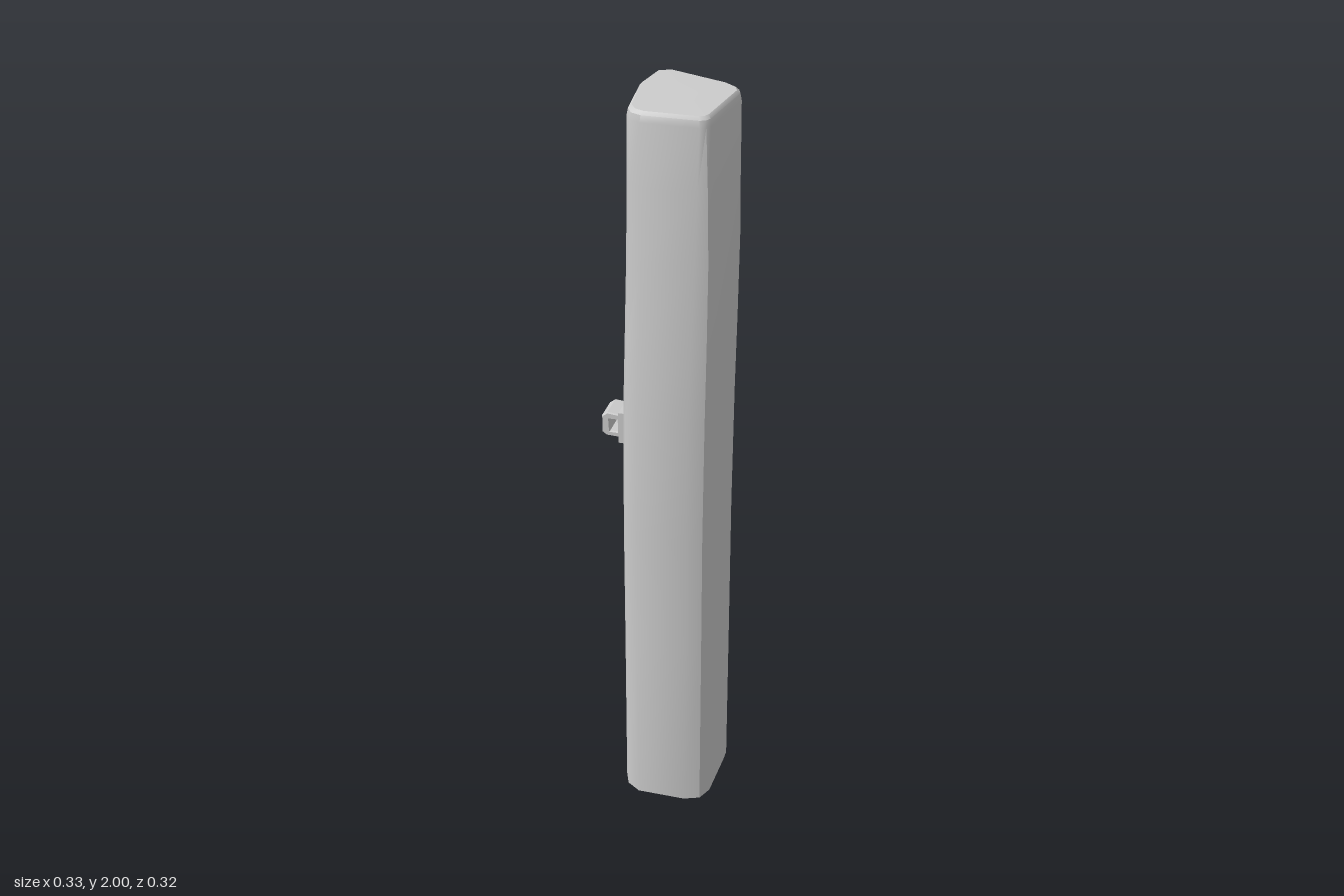
import * as THREE from 'three';
import { toCreasedNormals } from 'three/addons/utils/BufferGeometryUtils.js';

const material = new THREE.MeshStandardMaterial({ color: 0xcccccc, side: THREE.DoubleSide });

// Outlines [x, z], running from the back left corner round to the left side
const FOOT = [[-0.065, -0.1], [-0.03, -0.112], [0.12, -0.085], [0.152, -0.062], [0.15, -0.035], [0.13, 0.11],
  [0.108, 0.148], [0.065, 0.16], [-0.065, 0.148], [-0.1, 0.12], [-0.112, 0.08], [-0.1, -0.045]];
const HEAD = [[-0.063, -0.15], [-0.03, -0.162], [0.12, -0.112], [0.151, -0.09], [0.157, -0.07], [0.109, 0.088],
  [0.1, 0.1], [0.085, 0.105], [-0.055, 0.104], [-0.08, 0.093], [-0.092, 0.07], [-0.09, -0.07]];

// Blend of foot and head outlines at each height: [y, blend, x shift, z shift]
const LEVELS = [[0, 0, 0, 0], [0.5, 0.02, 0, -0.003], [0.85, 0.04, 0, -0.002], [1.2, 0.08, 0.003, 0],
  [1.4, 0.22, 0.006, 0], [1.62, 0.42, 0.008, 0], [1.8, 0.68, 0.005, 0]];

function postGeometry() {
  const n = FOOT.length;
  const rings = LEVELS.map(([y, t, dx, dz]) => FOOT.map(([x, z], i) => [
    x + (HEAD[i][0] - x) * t + dx, y, z + (HEAD[i][1] - z) * t + dz]));
  // Head rim with a bevel, tilted down towards the front right
  for (const [drop, inset] of [[0.025, 1], [0.008, 0.975], [0, 0.91]]) {
    rings.push(HEAD.map(([x, z]) => [
      0.03 + (x - 0.03) * inset,
      1.987 - drop - 0.075 * z - 0.03 * x,
      -0.02 + (z + 0.02) * inset]));
  }
  const positions = rings.flat(2);
  positions.push(0.03, 1.989, -0.02);
  const indices = [];
  for (let r = 0; r < rings.length - 1; r++) {
    for (let i = 0; i < n; i++) {
      const a = r * n + i, b = r * n + (i + 1) % n;
      indices.push(a, a + n, b, b, a + n, b + n);
    }
  }
  const last = (rings.length - 1) * n;
  for (let i = 0; i < n; i++) indices.push(last + i, last + n, last + (i + 1) % n);
  const geometry = new THREE.BufferGeometry();
  geometry.setAttribute('position', new THREE.Float32BufferAttribute(positions, 3));
  geometry.setIndex(indices);
  return toCreasedNormals(geometry, 0.62);
}

const polygon = (Type, points) => new Type(points.map(([x, y]) => new THREE.Vector2(x, y)));

export function createModel() {
  const model = new THREE.Group();
  const add = (name, geometry, parent) => {
    const mesh = new THREE.Mesh(geometry, material);
    mesh.name = name;
    parent.add(mesh);
    return mesh;
  };

  // Leaning hollow post, open at the foot
  add('post', postGeometry(), model);

  // Small bracket on the side of the post
  const bracket = new THREE.Group();
  bracket.name = 'bracket';
  bracket.position.set(-0.108, 1.132, 0.04);
  bracket.rotation.y = -0.09;
  model.add(bracket);

  const plate = add('bracketPlate', new THREE.BoxGeometry(0.014, 0.086, 0.086), bracket);
  plate.position.x = -0.002;

  // Loop standing off the plate
  const outline = polygon(THREE.Shape, [[0, -0.03], [0, 0.03], [-0.04, 0.034], [-0.053, 0.024],
    [-0.053, -0.02], [-0.042, -0.028]]);
  outline.holes.push(polygon(THREE.Path, [[-0.012, -0.019], [-0.036, -0.019], [-0.038, 0.02], [-0.012, 0.02]]));
  const loop = new THREE.ExtrudeGeometry(outline, {
    depth: 0.068, bevelEnabled: true, bevelThickness: 0.005, bevelSize: 0.002, bevelSegments: 1 });
  add('bracketLoop', loop.translate(0, 0, -0.037), bracket);

  return model;
}
